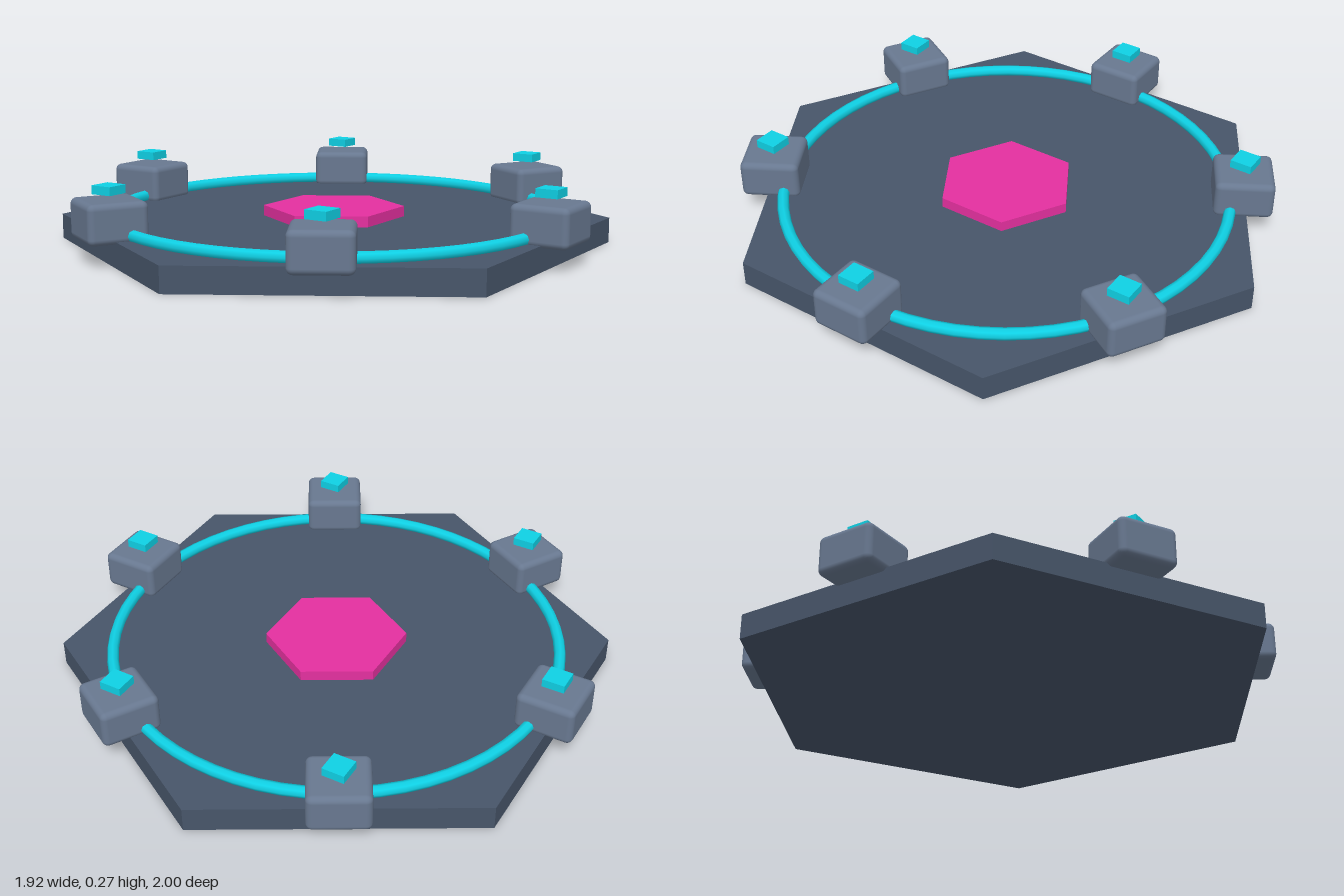
import * as THREE from 'three';
import { RoundedBoxGeometry } from 'three/addons/geometries/RoundedBoxGeometry.js';

const paint = (color, flatShading = false) => {
  const m = new THREE.MeshStandardMaterial({ color });
  m.flatShading = flatShading;
  return m;
};

export function createModel() {
  const model = new THREE.Group();
  model.name = 'hexagonalPad';

  const slate = paint(0x475569, true);
  const steel = paint(0x687890);
  const cyan = paint(0x0fd0e4);
  const pink = paint(0xe4309f, true);

  const add = (name, geometry, material, x, y, z) => {
    const mesh = new THREE.Mesh(geometry, material);
    mesh.name = name;
    mesh.position.set(x, y, z);
    model.add(mesh);
    return mesh;
  };

  // Hexagonal slab with points at front and back
  add('base', new THREE.CylinderGeometry(1, 1, 0.09, 6), slate, 0, 0.045, 0);

  // Raised hexagonal plate in the middle
  add('centerPlate', new THREE.CylinderGeometry(0.256, 0.256, 0.04, 6), pink, 0, 0.108, 0);

  // Glowing ring resting on the slab
  add('ring', new THREE.TorusGeometry(0.812, 0.021, 8, 64), cyan, 0, 0.106, 0).rotation.x = Math.PI / 2;

  // Six rounded blocks facing outward, each with a small light hovering above
  const blockGeometry = new RoundedBoxGeometry(0.212, 0.14, 0.212, 3, 0.022);
  const lightGeometry = new THREE.BoxGeometry(0.08, 0.03, 0.08);
  for (let i = 0; i < 6; i++) {
    const angle = (i * Math.PI) / 3;
    const x = 0.853 * Math.cos(angle);
    const z = 0.853 * Math.sin(angle);
    add(`block${i + 1}`, blockGeometry, steel, x, 0.15, z).rotation.y = -angle;
    add(`light${i + 1}`, lightGeometry, cyan, x, 0.253, z);
  }

  return model;
}
